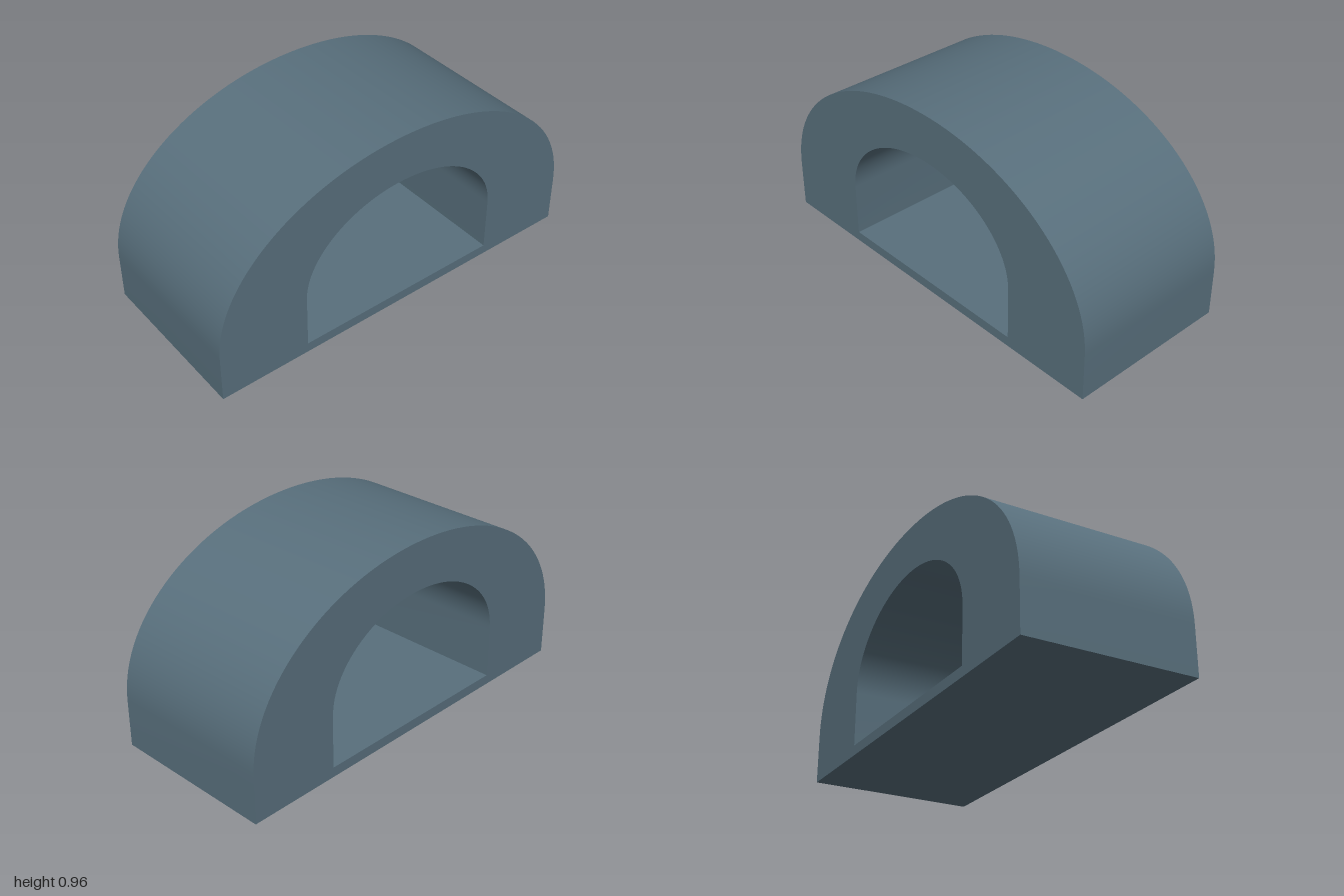
import * as THREE from 'three';
import { toCreasedNormals } from 'three/addons/utils/BufferGeometryUtils.js';

const DEPTH = 0.84;

// Traces a flat-bottomed arch: straight sides up to `spring`, then a rounded crown.
function traceArch(path, half, base, spring, top, shoulderY, shoulderX) {
  path.moveTo(-half, base);
  path.lineTo(half, base);
  path.lineTo(half, spring);
  path.bezierCurveTo(half, shoulderY, shoulderX, top, 0, top);
  path.bezierCurveTo(-shoulderX, top, -half, shoulderY, -half, spring);
  path.lineTo(-half, base);
  return path;
}

export function createModel() {
  const group = new THREE.Group();
  group.name = 'archTunnel';
  const slateBlue = new THREE.MeshStandardMaterial({ color: 0x586f7c });
  slateBlue.name = 'slateBlue';

  // Thick outer arch with a smaller arched opening above a thin floor
  const outline = traceArch(new THREE.Shape(), 1, 0, 0.24, 0.96, 0.66, 0.555);
  outline.holes.push(traceArch(new THREE.Path(), 0.54, 0.05, 0.32, 0.72, 0.54, 0.3));

  const extruded = new THREE.ExtrudeGeometry(outline, {
    depth: DEPTH, bevelEnabled: false, curveSegments: 32,
  });
  extruded.translate(0, 0, -DEPTH / 2);

  // Smooth crown, crisp corners and rims
  const arch = new THREE.Mesh(toCreasedNormals(extruded, Math.PI / 6), slateBlue);
  arch.name = 'archBody';
  group.add(arch);
  return group;
}
